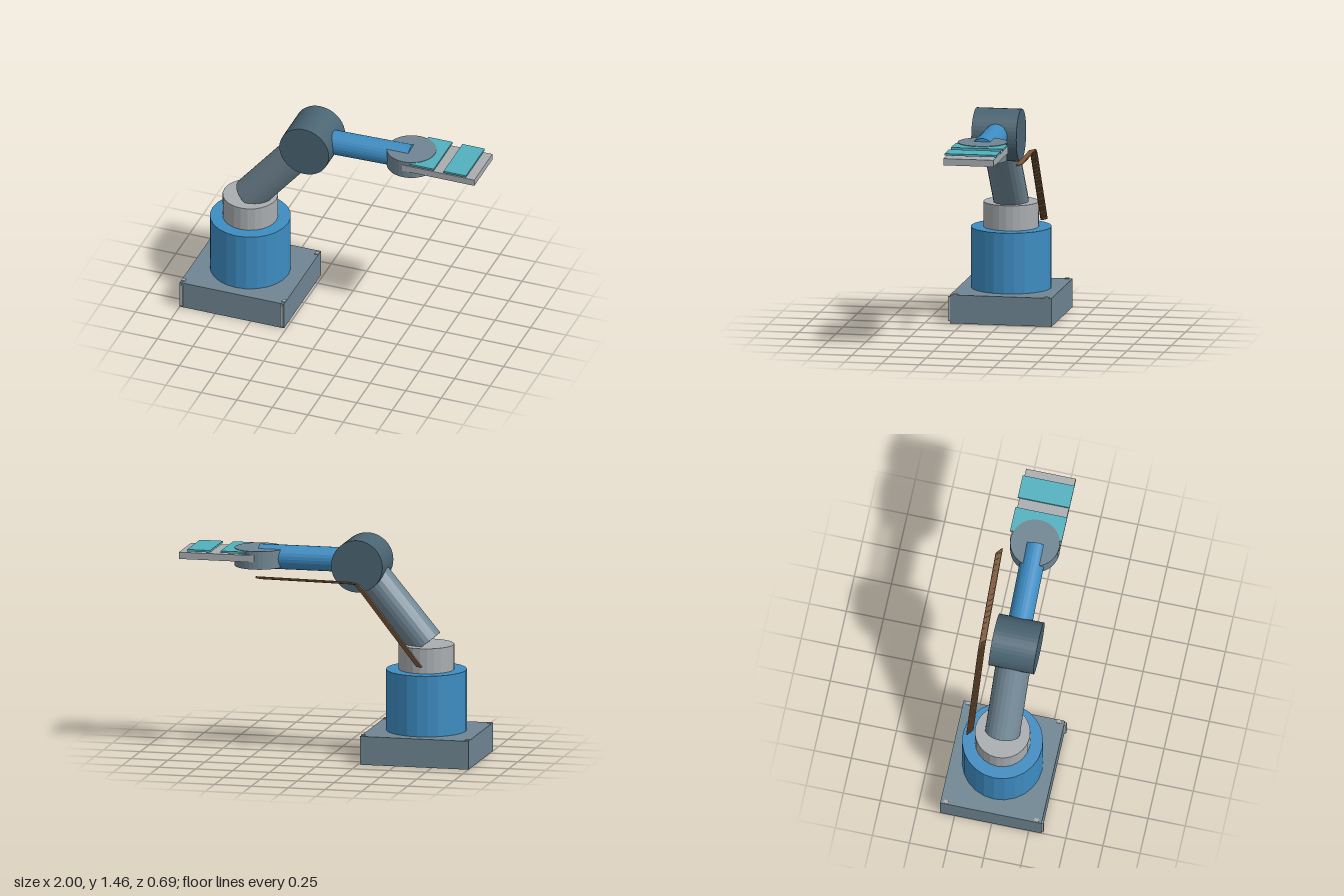
import * as THREE from 'three';

const flat = (color, name) => {
  const m = new THREE.MeshStandardMaterial({ color });
  m.name = name;
  m.flatShading = true;
  return m;
};

export function createModel() {
  const model = new THREE.Group();
  model.name = 'robotArm';
  const blue = flat(0x3d8cc2, 'blue paint');
  const steel = flat(0x6f8592, 'slate steel');
  const dark = flat(0x4a6472, 'dark slate');
  const grey = flat(0xa9adb0, 'light grey');
  const teal = flat(0x52b0be, 'teal pad');
  const brown = flat(0x7d5a3a, 'brown cable');

  const add = (name, geometry, material) => {
    const mesh = new THREE.Mesh(geometry, material);
    mesh.name = name;
    model.add(mesh);
    return mesh;
  };
  // box given by its extents on each axis
  const box = (name, x0, x1, y0, y1, z0, z1, material) =>
    add(name, new THREE.BoxGeometry(x1 - x0, y1 - y0, z1 - z0), material)
      .position.set((x0 + x1) / 2, (y0 + y1) / 2, (z0 + z1) / 2);
  // cylinder running between two points
  const rod = (name, a, b, r, material, sides = 24) => {
    const p = new THREE.Vector3(...a), q = new THREE.Vector3(...b);
    const d = q.clone().sub(p);
    const mesh = add(name, new THREE.CylinderGeometry(r, r, d.length(), sides), material);
    mesh.position.copy(p).add(q).multiplyScalar(0.5);
    mesh.quaternion.setFromUnitVectors(new THREE.Vector3(0, 1, 0), d.normalize());
  };

  // Base block with corner studs and front edge strips
  const cx = -0.632, cz = -0.006;
  box('base', -1, -0.265, 0, 0.19, -0.347, 0.335, steel);
  for (const s of [-1, 1]) {
    const x = cx + s * 0.354;
    box('frontStrip', x - 0.01, x + 0.01, 0.015, 0.178, 0.33, 0.348, grey);
    for (const z of [-0.312, 0.3]) {
      box('cornerStud', x - 0.012, x + 0.012, 0.185, 0.196, z - 0.015, z + 0.015, grey);
    }
  }

  // Turret and collar
  rod('turret', [cx, 0.19, cz], [cx, 0.597, cz], 0.267, blue);
  rod('collar', [cx, 0.597, cz], [cx, 0.765, cz], 0.183, grey);

  // Arm segments and elbow drum
  rod('lowerArm', [cx, 0.767, cz], [-0.196, 1.29, cz], 0.116, steel);
  rod('elbow', [-0.196, 1.29, -0.157], [-0.196, 1.29, 0.145], 0.174, dark, 40);
  rod('upperArm', [-0.196, 1.304, -0.01], [0.492, 1.307, -0.028], 0.081, blue);

  // Wrist disc, hand plate and pads
  rod('wrist', [0.495, 1.245, -0.031], [0.495, 1.366, -0.031], 0.164, steel, 32);
  box('handPlate', 0.49, 1, 1.295, 1.34, -0.2, 0.135, grey);
  box('rearPad', 0.545, 0.715, 1.35, 1.363, -0.21, 0.139, teal);
  box('frontPad', 0.785, 0.942, 1.35, 1.363, -0.21, 0.139, teal);

  // Bundle of bent cables behind the arm
  const strands = 6;
  for (let i = 0; i < strands; i++) {
    const t = i / (strands - 1) - 0.5;
    const at = (x, y, z) => new THREE.Vector3(x + t * 0.038, y, z + t * 0.028);
    const bend = at(-0.215, 1.192, -0.234);
    const path = new THREE.CurvePath();
    path.add(new THREE.LineCurve3(at(-0.638, 0.65, -0.225), at(-0.24, 1.16, -0.234)));
    path.add(new THREE.QuadraticBezierCurve3(at(-0.24, 1.16, -0.234), bend, at(-0.18, 1.193, -0.235)));
    path.add(new THREE.LineCurve3(at(-0.18, 1.193, -0.235), at(0.448, 1.206, -0.262)));
    add('cable', new THREE.TubeGeometry(path, 48, 0.0065, 6), brown);
  }
  return model;
}
